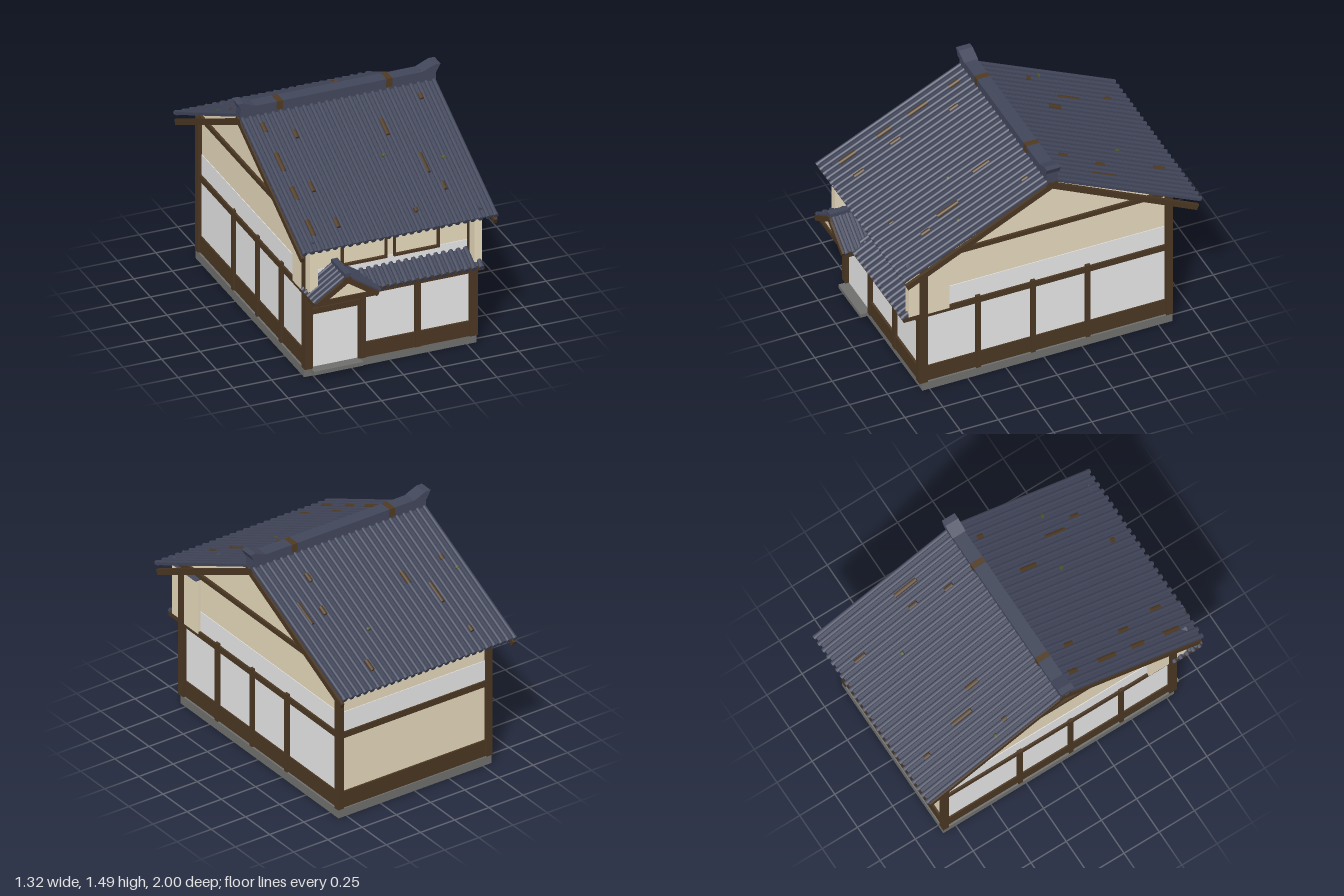
import * as THREE from 'three';

const mat = (name, color) => Object.assign(new THREE.MeshStandardMaterial({ color }), { name });
const M = {
  plaster: mat('cream plaster', 0xe4d7ba),
  panel: mat('white panel', 0xe5e5e5),
  wood: mat('dark wood', 0x4a3622),
  tile: mat('slate blue tile', 0x41465a),
  stone: mat('grey stone', 0x6e6e6c),
  rust: mat('weathered brown', 0x4f3a22),
  moss: mat('moss green', 0x4f5628),
};

function add(parent, name, geometry, material) {
  const mesh = new THREE.Mesh(geometry, material);
  mesh.name = name;
  parent.add(mesh);
  return mesh;
}

// Box given by its min and max on each axis
function box(parent, name, material, x0, x1, y0, y1, z0, z1) {
  const m = add(parent, name, new THREE.BoxGeometry(x1 - x0, y1 - y0, z1 - z0), material);
  m.position.set((x0 + x1) / 2, (y0 + y1) / 2, (z0 + z1) / 2);
  return m;
}

function polygon(points) {
  return new THREE.Shape(points.map(([x, y]) => new THREE.Vector2(x, y)));
}

// Prism with its outline in x and y, running from z0 to z1
function prism(parent, name, material, points, z0, z1) {
  const g = new THREE.ExtrudeGeometry(polygon(points), { depth: z1 - z0, bevelEnabled: false });
  return add(parent, name, g.translate(0, 0, z0), material);
}

function rod(r, length) {
  return new THREE.CylinderGeometry(r, r, length, 10).rotateX(Math.PI / 2);
}

// Tiled slope: local x runs along the eave, local z runs downhill from the origin
function tiledSlope(parent, name, { at, yaw, pitch, width, length, ribs, r }) {
  const g = new THREE.Group();
  g.name = name;
  g.position.set(...at);
  g.rotation.order = 'YXZ';
  g.rotation.set(pitch, yaw, 0);
  parent.add(g);
  box(g, 'tileBed', M.tile, -width / 2, width / 2, -r, -r * 0.2, 0, length);
  for (let i = 0; i < ribs; i++) {
    const x = (i / (ribs - 1) - 0.5) * (width - r * 2);
    add(g, 'tileRib', rod(r, length), M.tile).position.set(x, 0, length / 2);
    add(g, 'eaveTile', rod(r * 1.2, 0.02), M.tile).position.set(x, -r * 0.2, length);
  }
  return g;
}

const RIDGE_Z = -0.02, RIDGE_Y = 1.395, PITCH = Math.atan(0.464 / 0.97);
const ROOF_W = 1.27, RIBS = 26, RIB_R = 0.0135;

function mainRoof(root) {
  const roof = new THREE.Group();
  roof.name = 'mainRoof';
  root.add(roof);
  // Weathered tiles: x, distance from the ridge in z, length along the slope
  const marks = [
    [[-0.52, 0.12, 0.07], [-0.52, 0.36, 0.14], [-0.52, 0.58, 0.1], [-0.52, 0.82, 0.12], [-0.35, 0.2, 0.06],
      [-0.4, 0.56, 0.07], [-0.35, 0.82, 0.07], [0.335, 0.55, 0.15], [0.2, 0.27, 0.12], [0.39, 0.72, 0.06],
      [0.16, 0.84, 0.03], [0.5, 0.12, 0.04]],
    [[0.34, 0.83, 0.08], [0.51, 0.4, 0.17], [-0.345, 0.55, 0.15], [-0.225, 0.4, 0.09], [0.39, 0.42, 0.06],
      [-0.4, 0.83, 0.04], [0.34, 0.2, 0.06], [-0.52, 0.36, 0.03]],
  ];
  const mossSpots = [[[0.47, 0.54], [0.12, 0.45]], [[-0.57, 0.45], [0.2, 0.62]]];
  [0, 1].forEach((back) => {
    const s = tiledSlope(roof, back ? 'backRoofSlope' : 'frontRoofSlope', {
      at: [0, RIDGE_Y, RIDGE_Z], yaw: back * Math.PI, pitch: PITCH,
      width: ROOF_W, length: 1.075, ribs: RIBS, r: RIB_R,
    });
    const patch = (name, material, x, dz, length) =>
      add(s, name, rod(RIB_R + 0.002, length), material)
        .position.set(back ? -x : x, 0, dz / Math.cos(PITCH));
    marks[back].forEach(([x, dz, l]) => patch('weatheredTile', M.rust, x, dz, l));
    mossSpots[back].forEach(([x, dz]) => patch('mossSpot', M.moss, x, dz, 0.015));
    // Gable boards drop slightly away from the tiles towards the eave
    for (const side of [-1, 1]) {
      box(s, 'gableBoard', M.wood, side * 0.627 - 0.011, side * 0.627 + 0.011, -0.069, -0.032, -0.015, 1.085)
        .rotation.x = 0.012;
    }
  });
  // Ridge beam and its upturned end tiles
  box(roof, 'ridgeBase', M.tile, -0.635, 0.635, 1.38, 1.44, RIDGE_Z - 0.035, RIDGE_Z + 0.035);
  box(roof, 'ridgeCap', M.tile, -0.635, 0.635, 1.435, 1.455, RIDGE_Z - 0.042, RIDGE_Z + 0.042);
  for (const x of [-0.382, 0.33]) {
    box(roof, 'ridgeWeathering', M.rust, x - 0.019, x + 0.019, 1.4, 1.456, RIDGE_Z - 0.043, RIDGE_Z + 0.043);
  }
  for (const s of [-1, 1]) {
    prism(roof, 'ridgeEndTile', M.tile,
      [[0.54, 1.44], [0.632, 1.44], [0.66, 1.49], [0.62, 1.49], [0.54, 1.456]].map(([x, y]) => [s * x, y]),
      RIDGE_Z - 0.046, RIDGE_Z + 0.046);
  }
}

function walls(root) {
  box(root, 'foundation', M.stone, -0.56, 0.56, 0.003, 0.06, -0.84, 0.8);
  box(root, 'floorUnderside', M.panel, -0.55, 0.55, 0, 0.006, -0.83, 0.79);
  box(root, 'doorStep', M.stone, -0.52, -0.2, 0.035, 0.06, 0.79, 0.86);

  // House body with gable ends, outline in z and y
  const body = new THREE.ExtrudeGeometry(
    polygon([[-0.82, 0.06], [0.79, 0.06], [0.79, 0.99], [RIDGE_Z, 1.38], [-0.82, 0.99]]),
    { depth: 1.07, bevelEnabled: false });
  add(root, 'houseBody', body.rotateY(-Math.PI / 2).translate(0.535, 0, 0), M.plaster);

  for (const s of [-1, 1]) {
    const side = (name, m, depth, y0, y1, z0, z1) =>
      box(root, name, m, Math.min(s * 0.53, s * depth), Math.max(s * 0.53, s * depth), y0, y1, z0, z1);
    side('sidePanel', M.panel, 0.539, 0.06, 0.72, -0.82, 0.79);
    side('sideSkirt', M.wood, 0.548, 0.06, 0.17, -0.82, 0.79);
    side('sideRail', M.wood, 0.552, 0.545, 0.585, -0.82, 0.79);
    side('gableRail', M.wood, 0.552, 0.957, 0.988, -0.82, 0.79);
    for (const z of [0.43, 0.07, -0.29]) side('sidePost', M.wood, 0.56, 0.06, 0.6, z - 0.015, z + 0.015);
    // Corner posts
    box(root, 'frontCornerPost', M.wood, s * 0.537 - 0.026, s * 0.537 + 0.026, 0.06, 0.985, 0.765, 0.818);
    box(root, 'backCornerPost', M.wood, s * 0.542 - 0.021, s * 0.542 + 0.021, 0.06, 0.975, -0.842, -0.8);
    // Wing walls beside the upper front, each with a small tiled cap
    box(root, 'wingWall', M.plaster, s * 0.534 - 0.025, s * 0.534 + 0.025, 0.572, 0.95, 0.62, 0.888);
    box(root, 'wingWallTrim', M.wood, s * 0.507 - 0.004, s * 0.507 + 0.004, 0.6, 0.95, 0.78, 0.815);
    prism(root, 'wingWallCap', M.tile,
      [[-0.045, 0.945], [0.045, 0.945], [0, 0.968]].map(([x, y]) => [s * 0.534 + x, y]), 0.615, 0.9);
  }

  // Back wall
  box(root, 'backPanel', M.panel, -0.53, 0.53, 0.58, 0.72, -0.824, -0.815);
  box(root, 'backSkirt', M.wood, -0.53, 0.53, 0.06, 0.17, -0.832, -0.81);
  box(root, 'backRail', M.wood, -0.53, 0.53, 0.545, 0.585, -0.835, -0.81);
}

function front(root) {
  // Ground floor: door on one side, two wide windows on the other
  for (const x of [-0.182, 0.175]) box(root, 'frontPost', M.wood, x - 0.018, x + 0.018, 0.06, 0.56, 0.78, 0.815);
  box(root, 'door', M.panel, -0.511, -0.2, 0.06, 0.425, 0.785, 0.795);
  box(root, 'doorJamb', M.wood, -0.212, -0.198, 0.06, 0.43, 0.785, 0.81);
  box(root, 'doorLintel', M.wood, -0.511, -0.2, 0.422, 0.46, 0.785, 0.81);
  for (const [x0, x1] of [[-0.164, 0.157], [0.193, 0.511]]) {
    box(root, 'frontSkirt', M.wood, x0, x1, 0.06, 0.16, 0.785, 0.81);
    box(root, 'frontWindow', M.panel, x0, x1, 0.16, 0.485, 0.785, 0.795);
    box(root, 'windowLintel', M.wood, x0, x1, 0.485, 0.53, 0.785, 0.81);
  }
  box(root, 'eaveBeam', M.wood, -0.56, 0.56, 0.555, 0.585, 0.78, 0.92);

  // Upper floor: pale strip and two framed windows
  box(root, 'upperPanel', M.panel, -0.511, 0.511, 0.585, 0.71, 0.785, 0.794);
  for (const x of [-0.17, 0.17]) {
    for (const s of [-1, 1]) {
      box(root, 'upperWindowJamb', M.wood, x + s * 0.142 - 0.006, x + s * 0.142 + 0.006, 0.703, 0.95, 0.785, 0.81);
    }
    box(root, 'upperWindowSill', M.wood, x - 0.148, x + 0.148, 0.703, 0.717, 0.785, 0.81);
  }

  // Lean-to roof above the windows
  tiledSlope(root, 'leanToRoof', {
    at: [0.175, 0.655, 0.79], yaw: 0, pitch: Math.atan(0.07 / 0.13), width: 0.76, length: 0.15, ribs: 16, r: 0.015,
  });
}

function porch(root) {
  const X = -0.36, pitch = Math.atan(0.14 / 0.21);
  const g = new THREE.Group();
  g.name = 'porch';
  root.add(g);
  prism(g, 'porchGable', M.plaster, [[X - 0.19, 0.59], [X + 0.19, 0.59], [X, 0.72]], 0.78, 0.965);
  box(g, 'porchBeam', M.wood, X - 0.21, X + 0.21, 0.562, 0.595, 0.78, 0.975);
  for (const s of [-1, 1]) {
    const slope = tiledSlope(g, 'porchRoofSlope', {
      at: [X, 0.74, 0.885], yaw: s * Math.PI / 2, pitch, width: 0.2, length: 0.25, ribs: 5, r: 0.012,
    });
    // Front gable board, at the +z end of each slope
    const end = -s * 0.107;
    box(slope, 'porchGableBoard', M.wood, end - 0.008, end + 0.008, -0.038, -0.007, -0.012, 0.252);
  }
  box(g, 'porchRidge', M.tile, X - 0.02, X + 0.02, 0.735, 0.762, 0.785, 0.998);
}

export function createModel() {
  const root = new THREE.Group();
  root.name = 'townhouse';
  walls(root);
  front(root);
  porch(root);
  mainRoof(root);
  return root;
}
